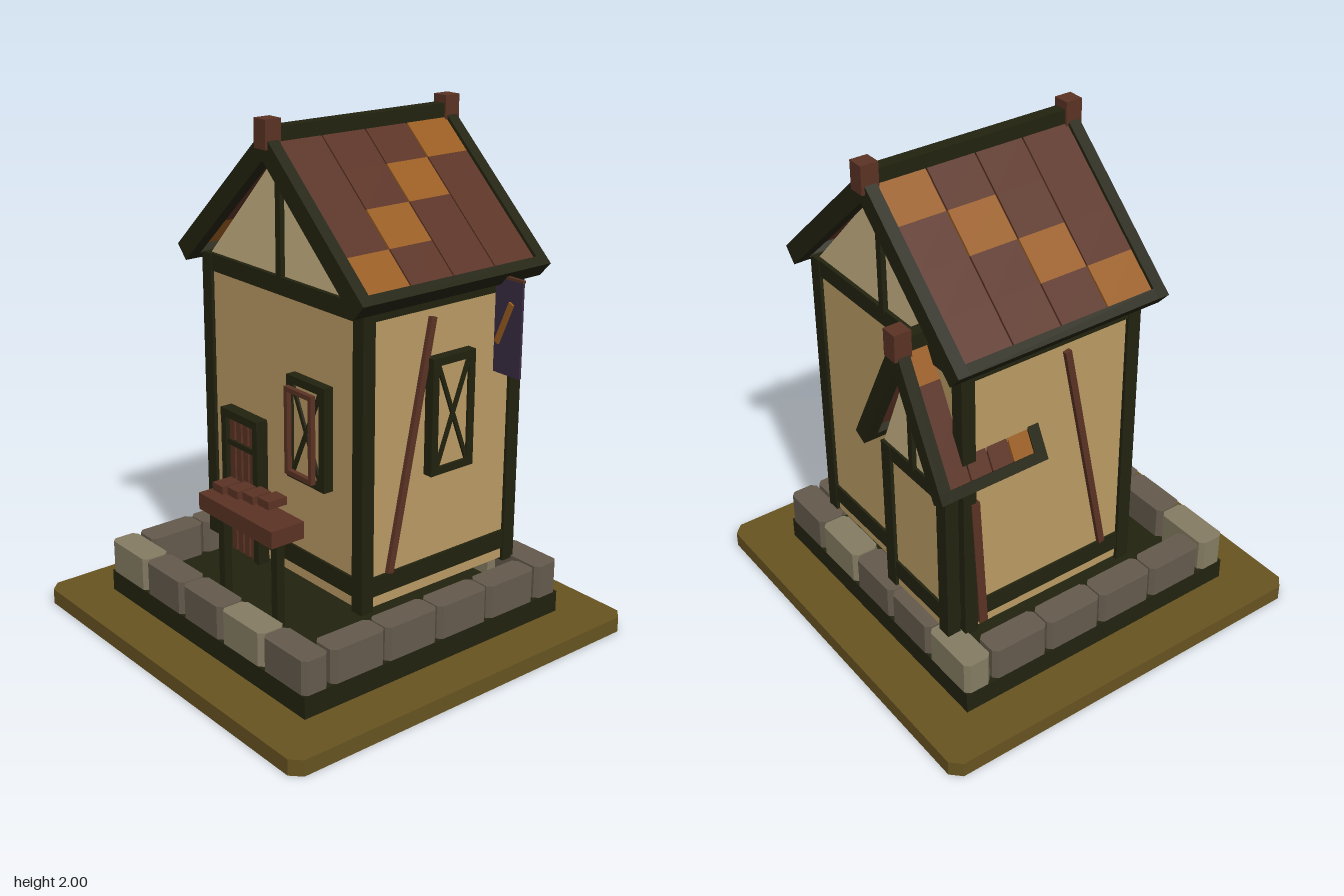
import * as THREE from 'three';

const mat = (name, color) => Object.assign(new THREE.MeshStandardMaterial({ color }), { name });
const M = {
  timber: mat('dark timber', 0x22220f),
  wall: mat('tan plaster', 0xba9a64),
  gable: mat('pale plaster', 0xcab486),
  wood: mat('red brown wood', 0x5a3224),
  tile: mat('orange tile', 0x985c20),
  earth: mat('earth', 0x675320),
  stone: mat('grey stone', 0x645a4c),
  paleStone: mat('pale stone', 0x847b62),
  cloth: mat('purple cloth', 0x3a2c42),
};

function add(parent, name, geo, material, x = 0, y = 0, z = 0) {
  const m = new THREE.Mesh(geo, material);
  m.name = name;
  m.position.set(x, y, z);
  parent.add(m);
  return m;
}

// box given by its min and max on each axis
function block(parent, name, material, x0, x1, y0, y1, z0, z1) {
  return add(parent, name, new THREE.BoxGeometry(x1 - x0, y1 - y0, z1 - z0), material,
    (x0 + x1) / 2, (y0 + y1) / 2, (z0 + z1) / 2);
}

// slanted bar from a to b; w is its horizontal thickness, h its other thickness
function bar(parent, name, material, a, b, w, h) {
  const p = new THREE.Vector3(...a), q = new THREE.Vector3(...b);
  const m = add(parent, name, new THREE.BoxGeometry(w, h, p.distanceTo(q)), material);
  m.position.copy(p).add(q).multiplyScalar(0.5);
  m.lookAt(q);
  return m;
}

// upright slab with cut corners
function slab(parent, name, material, x0, x1, y0, y1, z0, z1, c) {
  const a = (x1 - x0) / 2, b = (z1 - z0) / 2;
  const pts = [[-a + c, -b], [a - c, -b], [a, -b + c], [a, b - c], [a - c, b], [-a + c, b], [-a, b - c], [-a, -b + c]];
  const geo = new THREE.ExtrudeGeometry(new THREE.Shape(pts.map(p => new THREE.Vector2(...p))),
    { depth: y1 - y0, bevelEnabled: false });
  geo.rotateX(-Math.PI / 2);
  return add(parent, name, geo, material, (x0 + x1) / 2, y0, (z0 + z1) / 2);
}

function gablePanel(parent, cx, half, y0, y1, z) {
  const s = new THREE.Shape([[-half, y0], [half, y0], [0, y1]].map(p => new THREE.Vector2(...p)));
  const geo = new THREE.ExtrudeGeometry(s, { depth: 0.02, bevelEnabled: false });
  add(parent, 'gablePanel', geo, M.gable, cx, 0, z - 0.01);
}

// pitched roof: ridge and eave heights follow the rafter centre line
function roof(parent, name, cx, half, ridge, eave, z0, z1, th) {
  const g = new THREE.Group();
  g.name = name;
  parent.add(g);
  const len = Math.hypot(half, ridge - eave), ux = half / len, uy = (ridge - eave) / len;
  const tz0 = z0 + 0.045, tz1 = z1 - 0.045, step = (tz1 - tz0) / 4;
  for (const s of [-1, 1]) {
    const at = (d, z, up = 0) => [cx + s * (d * ux + up * uy), ridge - d * uy + up * ux, z];
    for (const z of [z0 + 0.0235, z1 - 0.0235])
      bar(g, 'rafter', M.timber, at(0, z), at(len, z), 0.047, th);
    const mid = (z0 + z1) / 2;
    bar(g, 'eaveBeam', M.timber, at(len - 0.036, mid), at(len + 0.004, mid), z1 - z0, th);
    // four strips of tiles with a diagonal run of orange ones
    for (let i = 0; i < 4; i++) for (let j = 0; j < 4; j++) {
      const z = tz0 + (i + 0.5) * step, d = (len - 0.025) / 4;
      bar(g, 'roofTile', i === j ? M.tile : M.wood, at(j * d, z, 0.012), at((j + 1) * d, z, 0.012), step - 0.006, 0.028);
    }
  }
  block(g, 'ridgeBeam', M.timber, cx - 0.025, cx + 0.025, ridge - 0.015, ridge + 0.065, z0, z1);
  for (const z of [z0 + 0.022, z1 - 0.024])
    block(g, 'ridgePost', M.wood, cx - 0.033, cx + 0.033, ridge - 0.01, ridge + 0.095, z - 0.034, z + 0.034);
}

// window facing +z, centred on its own origin
function makeWindow(w, h, inner) {
  const g = new THREE.Group(), a = w / 2, b = h / 2, t = 0.03;
  block(g, 'pane', M.wall, -a + t, a - t, -b + t, b - t, 0, 0.03);
  for (const s of [-1, 1]) {
    add(g, 'frameSide', new THREE.BoxGeometry(t, h, 0.04), M.timber, s * (a - t / 2), 0, 0.02);
    add(g, 'frameRail', new THREE.BoxGeometry(w, t, 0.04), M.timber, 0, s * (b - t / 2), 0.02);
    bar(g, 'crossBar', M.timber, [-s * (a - t), -b + t, 0.033], [s * (a - t), b - t, 0.033], 0.012, 0.016);
    if (inner) {
      add(g, 'innerSide', new THREE.BoxGeometry(0.018, h - 2 * t, 0.02), M.wood, s * (a - t - 0.009), 0, 0.065);
      add(g, 'innerRail', new THREE.BoxGeometry(w - 2 * t, 0.018, 0.02), M.wood, 0, s * (b - t - 0.009), 0.065);
    }
  }
  return g;
}

// timber framed body: plaster box, corner posts and beams
function framedBody(parent, name, x0, x1, y1, z0, z1, beamH) {
  const g = new THREE.Group(), e = 0.014, p = 0.055;
  g.name = name;
  parent.add(g);
  block(g, 'plasterWalls', M.wall, x0 + e, x1 - e, 0.28, y1 - 0.01, z0 + e, z1 - e);
  for (const x of [x0, x1 - p]) for (const z of [z0, z1 - p])
    block(g, 'cornerPost', M.timber, x, x + p, 0.27, y1, z, z + p);
  for (const [a, b] of [[0.325, 0.4], [y1 - beamH, y1]]) {
    const i = 0.004;
    for (const z of [z0 + i, z1 - i - 0.04]) block(g, 'crossBeam', M.timber, x0 + i, x1 - i, a, b, z, z + 0.04);
    for (const x of [x0 + i, x1 - i - 0.04]) block(g, 'sideBeam', M.timber, x, x + 0.04, a, b, z0 + i, z1 - i);
  }
}

export function createModel() {
  const root = new THREE.Group();
  root.name = 'timberHouse';

  // ground and stone border
  slab(root, 'ground', M.earth, -0.81, 0.81, 0, 0.062, -0.81, 0.81, 0.04);
  block(root, 'foundation', M.timber, -0.62, 0.62, 0.062, 0.148, -0.62, 0.62);
  for (let i = 0; i < 5; i++) {
    const x = -0.62 + i * 0.249, m = i % 3 === 0 ? M.paleStone : M.stone;
    for (const z of [-0.62, 0.508]) slab(root, 'stone', m, x, x + 0.243, 0.148, 0.28, z, z + 0.112, 0.018);
    if (i < 4) for (const s of [-1, 1]) {
      const z = -0.498 + i * 0.249;
      slab(root, 'stone', M.stone, s * 0.565 - 0.055, s * 0.565 + 0.055, 0.148, 0.28, z + 0.003, z + 0.246, 0.018);
    }
  }

  // main house
  framedBody(root, 'house', -0.474, 0.474, 1.428, -0.52, 0.247, 0.066);
  for (const [z, s] of [[0.215, 1], [-0.49, -1]]) {
    gablePanel(root, 0, 0.45, 1.42, 1.89, z);
    add(root, 'gablePost', new THREE.BoxGeometry(0.028, 0.44, 0.03), M.timber, 0, 1.63, z + s * 0.015);
  }
  roof(root, 'mainRoof', 0, 0.517, 1.905, 1.428, -0.578, 0.308, 0.075);
  for (const s of [-1, 1])
    bar(root, 'diagonalBrace', M.wood, [s * 0.468, 0.4, 0.112], [s * 0.468, 1.33, -0.075], 0.02, 0.026);

  // rear dormer wing
  framedBody(root, 'rearWing', -0.45, -0.05, 0.93, -0.58, -0.3, 0.06);
  gablePanel(root, -0.25, 0.2, 0.92, 1.38, -0.557);
  block(root, 'gablePost', M.timber, -0.262, -0.238, 0.92, 1.38, -0.585, -0.557);
  roof(root, 'rearRoof', -0.25, 0.244, 1.415, 0.945, -0.637, -0.19, 0.06);
  bar(root, 'sidePlank', M.wood, [-0.468, 0.3, -0.44], [-0.468, 0.86, -0.47], 0.02, 0.035);

  // windows
  const front = makeWindow(0.215, 0.395, true);
  front.name = 'frontWindow';
  front.position.set(0.208, 0.903, 0.25);
  const side = makeWindow(0.205, 0.445, false);
  side.name = 'sideWindow';
  side.position.set(0.462, 0.962, -0.155);
  side.rotation.y = Math.PI / 2;
  root.add(front, side);

  // door with planks, straps and handle
  const door = new THREE.Group();
  door.name = 'door';
  root.add(door);
  block(door, 'doorBack', M.timber, -0.29, -0.1, 0.27, 0.84, 0.235, 0.258);
  for (const x of [-0.314, -0.115]) block(door, 'doorPost', M.timber, x, x + 0.03, 0.27, 0.855, 0.24, 0.29);
  block(door, 'doorLintel', M.timber, -0.314, -0.085, 0.823, 0.855, 0.24, 0.292);
  for (let i = 0; i < 4; i++) {
    const x = -0.279 + i * 0.042;
    block(door, 'doorPlank', M.wood, x, x + 0.03, 0.27, 0.823, 0.255, 0.275);
  }
  for (const y of [0.38, 0.71]) block(door, 'doorStrap', M.timber, -0.284, -0.115, y, y + 0.022, 0.27, 0.283);
  block(door, 'doorHandle', M.timber, -0.15, -0.132, 0.53, 0.575, 0.28, 0.315);

  // market table with small goods
  const table = new THREE.Group();
  table.name = 'table';
  root.add(table);
  block(table, 'tableTop', M.wood, -0.13, 0.315, 0.56, 0.625, 0.38, 0.525);
  for (const x of [-0.085, 0.24]) block(table, 'tableLeg', M.timber, x, x + 0.034, 0.148, 0.56, 0.438, 0.472);
  for (let i = 0; i < 4; i++) {
    const x = -0.082 + i * 0.093, y = 0.645 + i * 0.012;
    block(table, 'goods', M.wood, x, x + 0.063, y, y + 0.03, 0.413, 0.495);
  }

  // hanging banner
  block(root, 'banner', M.cloth, 0.47, 0.602, 1.065, 1.43, -0.388, -0.378);
  bar(root, 'bannerStripe', M.tile, [0.487, 1.18, -0.374], [0.555, 1.34, -0.374], 0.009, 0.022);
  block(root, 'bannerPole', M.wood, 0.46, 0.605, 1.424, 1.434, -0.39, -0.376);

  return root;
}
